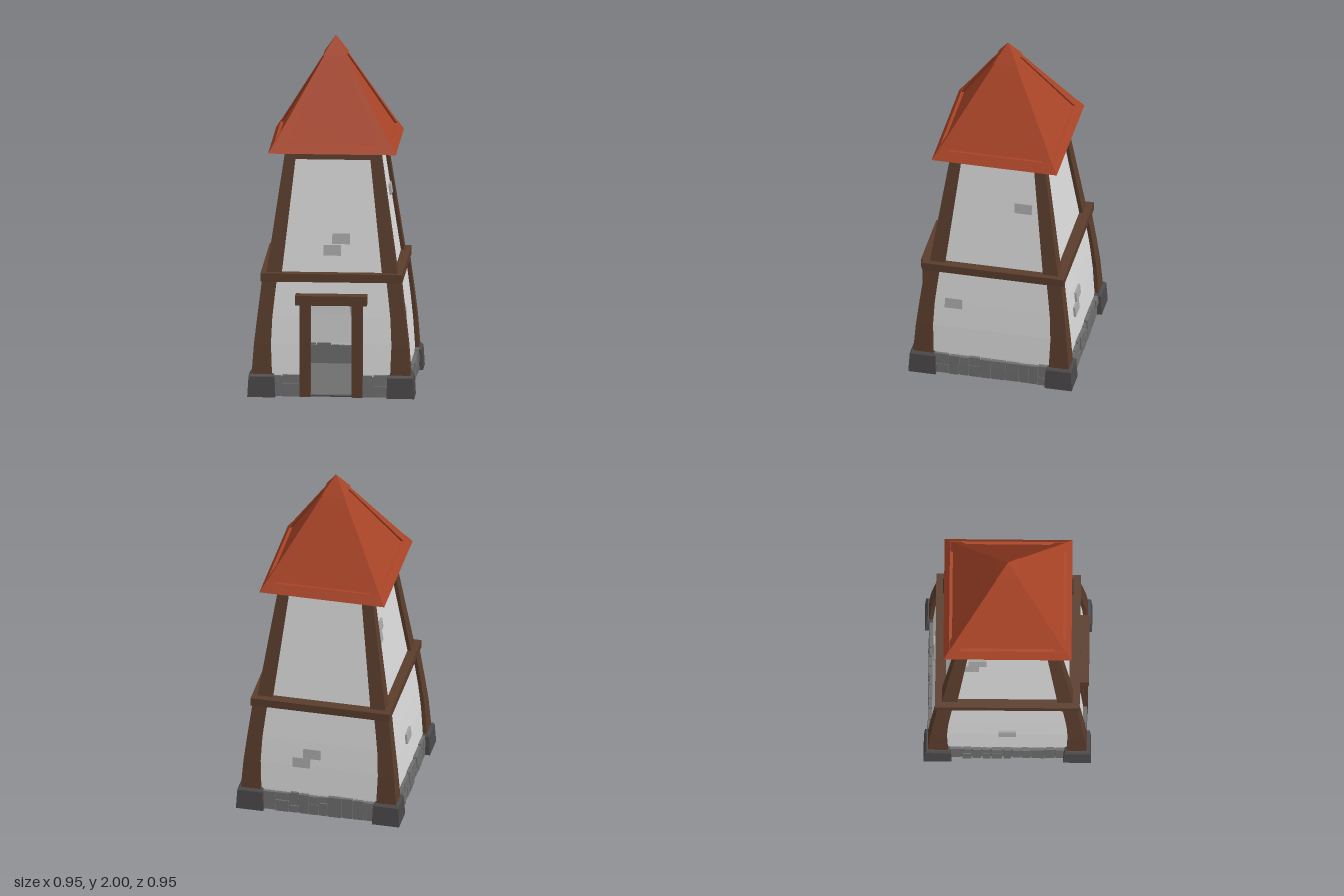
import * as THREE from 'three';

const mat = (name, color, side = THREE.FrontSide) => {
  const m = new THREE.MeshStandardMaterial({ color, side });
  m.name = name;
  return m;
};

// Flat-faced geometry from a list of quads [a, b, c, d], counter-clockwise from outside
function quadGeometry(quads) {
  const p = [];
  for (const [a, b, c, d] of quads) p.push(...a, ...b, ...c, ...a, ...c, ...d);
  const g = new THREE.BufferGeometry();
  g.setAttribute('position', new THREE.Float32BufferAttribute(p, 3));
  g.computeVertexNormals();
  return g;
}

// Closed solid from rectangular sections [y, x0, x1, z0, z1], bottom to top
function loft(rows) {
  const rings = rows.map(([y, x0, x1, z0, z1]) => [[x0, y, z1], [x1, y, z1], [x1, y, z0], [x0, y, z0]]);
  const quads = [[...rings[0]].reverse(), rings[rings.length - 1]];
  for (let r = 0; r + 1 < rings.length; r++)
    for (let i = 0; i < 4; i++) {
      const j = (i + 1) % 4;
      quads.push([rings[r][i], rings[r][j], rings[r + 1][j], rings[r + 1][i]]);
    }
  return quadGeometry(quads);
}
const squareLoft = (rows) => loft(rows.map(([y, h]) => [y, -h, h, -h, h]));

// Upright panel facing +z from rows [y, x0, x1, z]
function panel(rows) {
  const quads = [];
  for (let i = 0; i + 1 < rows.length; i++) {
    const [y, a, b, z] = rows[i], [Y, A, B, Z] = rows[i + 1];
    quads.push([[a, y, z], [b, y, z], [B, Y, Z], [A, Y, Z]]);
  }
  return quadGeometry(quads);
}

// Corner solid from rows [y, inner, outer], mirrored by sx, sz
function corner(rows, sx, sz) {
  const span = (s, i, o) => (s > 0 ? [i, o] : [-o, -i]);
  return loft(rows.map(([y, i, o]) => [y, ...span(sx, i, o), ...span(sz, i, o)]));
}

// Half width of the plaster walls by height
const profile = [[0, 0.43], [0.13, 0.427], [0.3, 0.415], [0.45, 0.4], [0.55, 0.388], [0.68, 0.372], [0.7, 0.35], [1.385, 0.25]];
const lower = profile.slice(0, 6), upper = profile.slice(6);
function wallAt(y) {
  const i = Math.max(1, profile.findIndex((p) => p[0] >= y));
  const [a, h] = profile[i - 1], [b, k] = profile[i];
  return { half: h + ((k - h) * (y - a)) / (b - a), tilt: Math.atan((k - h) / (b - a)) };
}

let seed = 7;
const rand = () => (seed = (seed * 16807) % 2147483647) / 2147483647;

export function createModel() {
  const plaster = mat('plaster', 0xdadada, THREE.DoubleSide);
  const wood = mat('wood', 0x5a3d2c);
  const roofRed = mat('roof red', 0xa94427);
  const stone = mat('stone', 0x6f6f6f);
  const darkStone = mat('dark stone', 0x4c494a);
  const brickGrey = mat('brick grey', 0xa9a9a9);

  const model = new THREE.Group();
  model.name = 'tower';
  const add = (name, geometry, material, parent = model) => {
    const m = new THREE.Mesh(geometry, material);
    m.name = name;
    parent.add(m);
    return m;
  };
  const box = (name, x0, x1, y0, y1, z0, z1, material, parent) =>
    add(name, loft([[y0, x0, x1, z0, z1], [y1, x0, x1, z0, z1]]), material, parent);

  // Four sides: front, right (+x), back, left (-x)
  const bricks = [
    [[0, 0.825], [0.05, 0.89]],
    [[0.155, 1.085], [-0.225, 0.455]],
    [[-0.105, 0.32], [-0.045, 0.38]],
    [[-0.21, 1.07], [-0.17, 1.13], [0, 0.32]],
  ];
  for (let s = 0; s < 4; s++) {
    const side = new THREE.Group();
    side.name = ['frontSide', 'rightSide', 'backSide', 'leftSide'][s];
    side.rotation.y = (s * Math.PI) / 2;
    model.add(side);

    // Plaster walls, with a doorway in the front
    const door = 0.15;
    if (s === 0) {
      add('lowerWall', panel(lower.map(([y, h]) => [y, -h, -door, h])), plaster, side);
      add('lowerWall', panel(lower.map(([y, h]) => [y, door, h, h])), plaster, side);
      add('wallOverDoor', panel(lower.slice(4).map(([y, h]) => [y, -door, door, h])), plaster, side);
    } else {
      add('lowerWall', panel(lower.map(([y, h]) => [y, -h, h, h])), plaster, side);
    }
    add('upperWall', panel(upper.map(([y, h]) => [y, -h, h, h])), plaster, side);

    // Rubble footing
    const runs = s === 0 ? [[-0.33, -0.175], [0.175, 0.33]] : [[-0.33, 0.33]];
    for (const [start, end] of runs) {
      box('footing', start, end, 0, 0.115, 0.42, 0.437, stone, side);
      let x = start;
      while (x < end - 0.01) {
        let next = x + 0.05 + 0.04 * rand();
        if (end - next < 0.04) next = end;
        const split = rand() < 0.7 ? 0.045 + 0.04 * rand() : 0;
        const top = 0.118 + 0.012 * rand();
        for (const [a, b] of split ? [[0, split], [split, top]] : [[0, top]]) {
          const z = 0.444 + 0.01 * rand(), j = 0.004 * rand();
          add('footingStone', loft([
            [a + 0.002, x + 0.002, next - 0.002 - j, 0.425, z],
            [b - 0.002, x + 0.002 + j, next - 0.002, 0.425, z - 0.003],
          ]), stone, side);
        }
        x = next;
      }
    }

    // Exposed bricks
    for (const [x, y] of bricks[s]) {
      const { half, tilt } = wallAt(y);
      const b = add('exposedBrick', new THREE.BoxGeometry(0.1, 0.06, 0.024), brickGrey, side);
      b.position.set(x, y, half);
      b.rotation.x = tilt;
    }

    // Beam under the eaves
    add('eavesBeam', loft([[1.335, -0.25, 0.25, 0.2, 0.266], [1.38, -0.245, 0.245, 0.2, 0.26]]), wood, side);
  }

  // Corner posts, corner stones and roof hips
  for (const sx of [-1, 1])
    for (const sz of [-1, 1]) {
      add('cornerStone', corner([[0, 0.315, 0.473], [0.118, 0.32, 0.466], [0.13, 0.328, 0.457]], sx, sz), darkStone);
      add('lowerPost', corner([[0.12, 0.335, 0.45], [0.3, 0.342, 0.437], [0.45, 0.335, 0.42], [0.57, 0.322, 0.405], [0.67, 0.31, 0.393]], sx, sz), wood);
      add('upperPost', corner([[0.69, 0.285, 0.372], [1.387, 0.207, 0.27]], sx, sz), wood);
      add('roofHip', corner([[1.433, 0.272, 0.331], [1.9, 0.035, 0.058]], sx, sz), roofRed);
    }

  // Floor and middle beam
  box('base', -0.435, 0.435, 0, 0.006, -0.435, 0.435, darkStone);
  box('floor', -0.42, 0.42, 0.006, 0.01, -0.42, 0.42, stone);
  box('middleBeam', -0.402, 0.402, 0.655, 0.702, -0.409, 0.409, wood);

  // Door frame
  for (const s of [-1, 1]) {
    const x = s * 0.148;
    box('doorPost', x - 0.031, x + 0.031, 0, 0.54, 0.37, 0.454, wood);
  }
  box('doorLintel', -0.203, 0.203, 0.53, 0.585, 0.36, 0.46, wood);

  // Roof: eaves skirt, recessed slopes and peak cap
  add('roofSkirt', squareLoft([[1.385, 0.362], [1.437, 0.331]]), roofRed);
  add('roofSlopes', squareLoft([[1.43, 0.318], [1.9, 0.048]]), roofRed);
  add('roofCap', squareLoft([[1.894, 0.068], [2, 0.0005]]), roofRed);

  return model;
}
